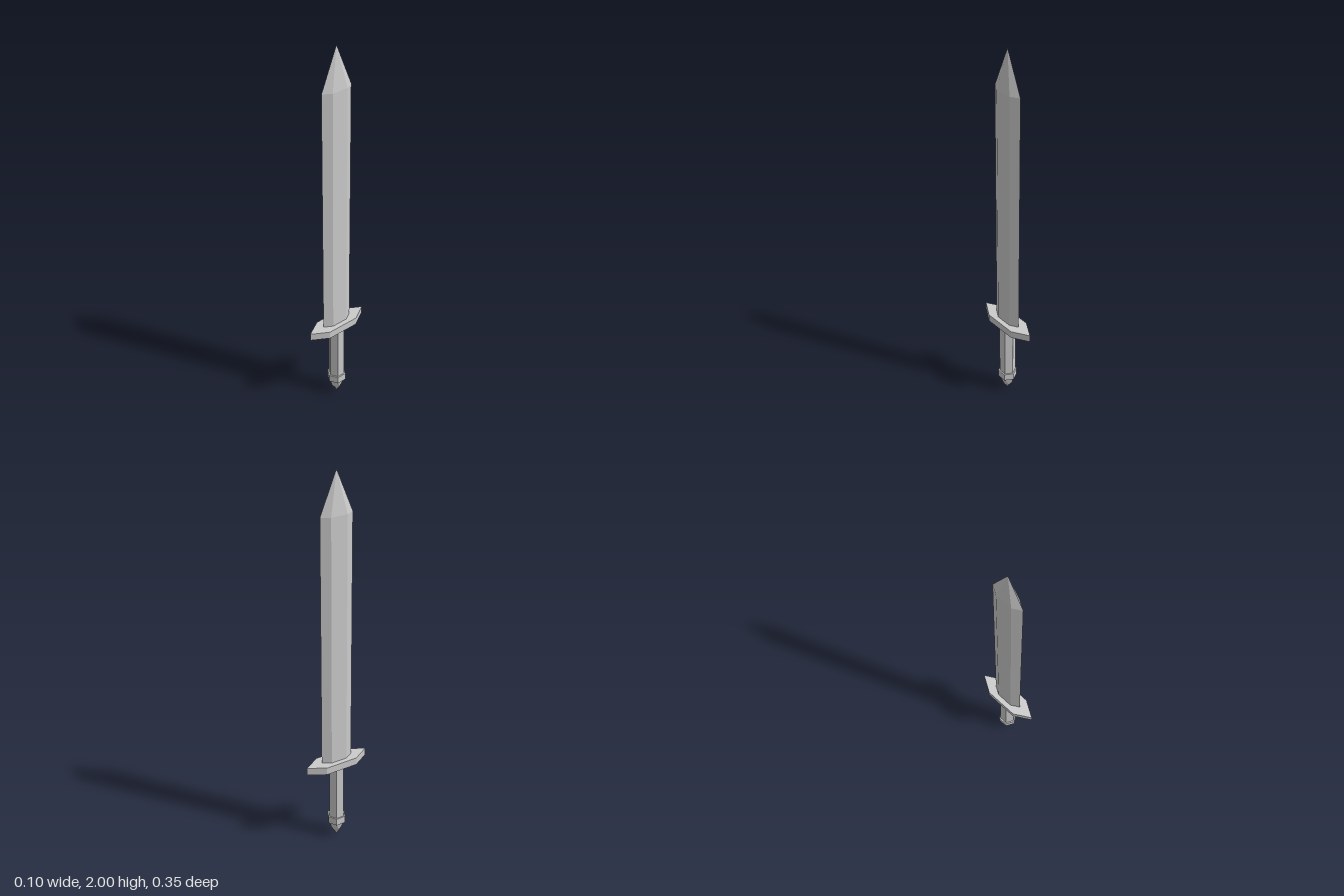
import * as THREE from 'three';

export function createModel() {
  const model = new THREE.Group();
  const material = new THREE.MeshStandardMaterial({ color: 0xcccccc, flatShading: true });

  function add(name, geometry) {
    const mesh = new THREE.Mesh(geometry, material);
    mesh.name = name;
    model.add(mesh);
    return mesh;
  }

  // Six-sided prism or spike with corners on the z axis, optionally squashed in x
  function hex(name, y0, y1, r0, r1 = r0, squash = 1) {
    const g = new THREE.CylinderGeometry(r1, r0, y1 - y0, 6);
    g.scale(squash, 1, 1);
    g.translate(0, (y0 + y1) / 2, 0);
    return add(name, g);
  }

  const flat = 0.345;
  hex('blade', 0.48, 1.79, 0.087, 0.087, flat);
  hex('bladeTip', 1.79, 2, 0.087, 0, flat);
  hex('guard', 0.44, 0.48, 0.174, 0.174, flat);
  hex('grip', 0.13, 0.44, 0.042);
  hex('pommelCollar', 0.09, 0.13, 0.05);

  // Faceted pommel point: the second ring is turned half a step
  const point = (r, y, step) => {
    const a = step * Math.PI / 3;
    return [r * Math.sin(a), y, r * Math.cos(a)];
  };
  const corners = [];
  for (let i = 0; i < 6; i++) {
    const a = point(0.042, 0.09, i), aNext = point(0.042, 0.09, i + 1);
    const b = point(0.026, 0.042, i + 0.5), bNext = point(0.026, 0.042, i + 1.5);
    corners.push(...a, ...b, ...aNext, ...b, ...bNext, ...aNext, ...b, 0, 0, 0, ...bNext);
  }
  const gem = new THREE.BufferGeometry();
  gem.setAttribute('position', new THREE.Float32BufferAttribute(corners, 3));
  gem.computeVertexNormals();
  add('pommelPoint', gem);

  return model;
}
